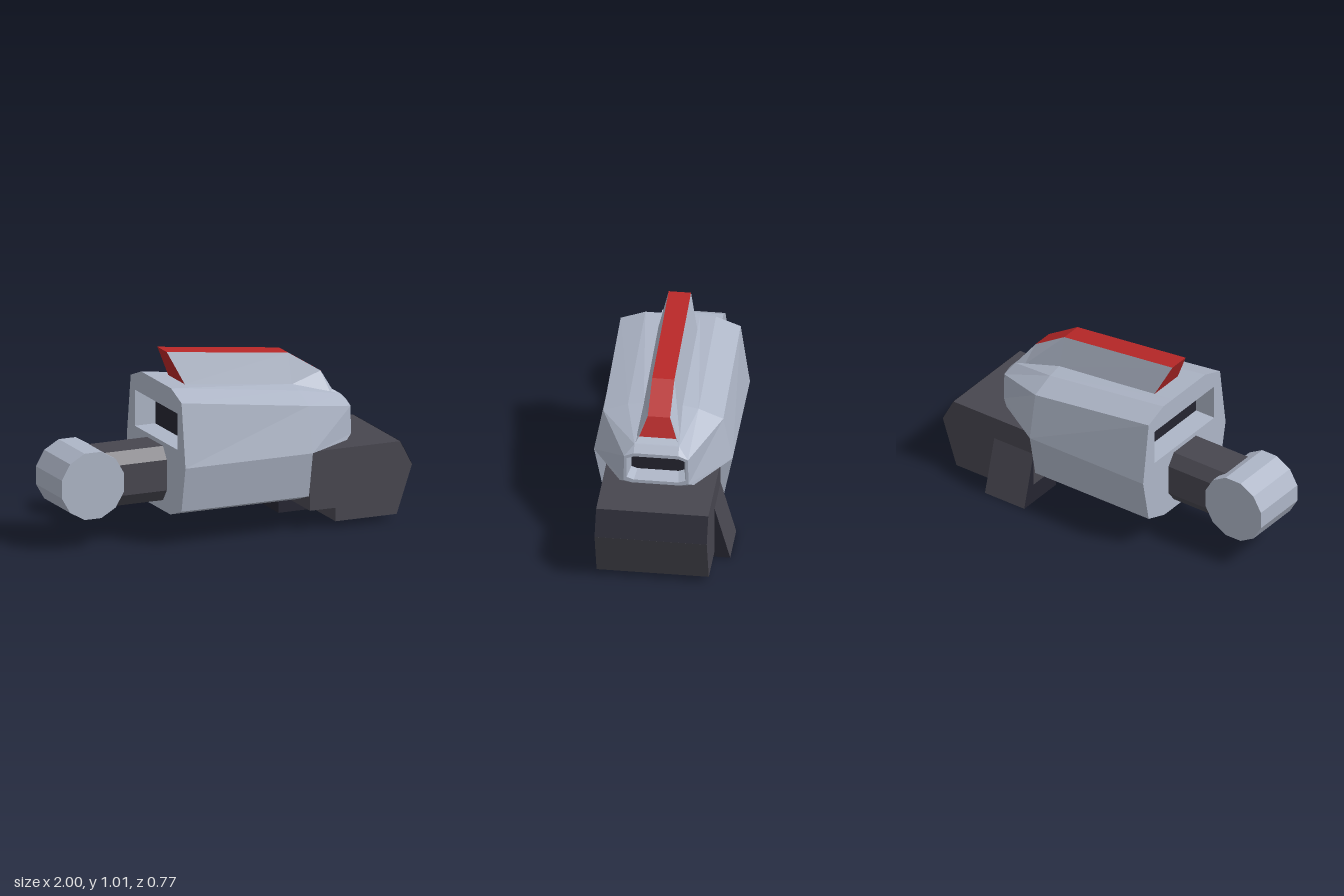
import * as THREE from 'three';

const mat = (name, color, extra = {}) => {
  const m = new THREE.MeshStandardMaterial({ color, ...extra });
  m.name = name;
  return m;
};

export function createModel() {
  const grey = mat('hull grey', 0xadb5c6);
  const dark = mat('dark grey', 0x47464f);
  const black = mat('black', 0x242430, { side: THREE.DoubleSide });
  const red = mat('red', 0xb82727);

  const root = new THREE.Group();
  const hull = new THREE.Group();
  hull.name = 'hull';
  hull.position.z = 0.01;
  root.add(hull);

  const add = (parent, name, geometry, material) => {
    const g = geometry.index ? geometry.toNonIndexed() : geometry;
    g.computeVertexNormals();
    const m = new THREE.Mesh(g, material);
    m.name = name;
    parent.add(m);
    return m;
  };
  const fromTriangles = (points) => {
    const g = new THREE.BufferGeometry();
    g.setAttribute('position', new THREE.Float32BufferAttribute(points.flat(), 3));
    return g;
  };
  const quad = (a, b, c, d) => [a, b, c, a, c, d];

  // Symmetric cross-section from half points [z, y, x], bottom to top
  const ring = (half, x) => {
    const h = half.map(([z, y, px]) => [px ?? x, y, z]);
    return [...h, ...h.map(([px, y, z]) => [px, y, -z]).reverse()];
  };
  const loft = (rings) => {
    const t = [];
    for (let j = 0; j < rings.length - 1; j++) {
      const a = rings[j], b = rings[j + 1], n = a.length;
      for (let i = 0; i < n; i++) {
        const k = (i + 1) % n;
        t.push(...quad(a[i], b[i], b[k], a[k]));
      }
    }
    return fromTriangles(t);
  };
  const cap = (r, forward) => {
    const t = [];
    for (let i = 1; i < r.length - 1; i++)
      t.push(r[0], ...(forward ? [r[i + 1], r[i]] : [r[i], r[i + 1]]));
    return fromTriangles(t);
  };

  // Main hull with the rear recess
  const opening = [[0.18, 0.53], [0.27, 0.53], [0.27, 0.6], [0.27, 0.73], [0.19, 0.73], [0.105, 0.73]];
  const lower = [[0.18, 0.15], [0.323, 0.2], [0.373, 0.45]];
  const rear = [...lower, [0.323, 0.8], [0.19, 0.85], [0.105, 0.85]];
  const front = [...lower, [0.323, 0.7], [0.19, 0.753], [0.105, 0.768]];
  add(hull, 'mainHull', loft([ring(opening, -0.25), ring(opening, -0.37), ring(rear, -0.37), ring(front, 0.38)]), grey);
  add(hull, 'lowerHullFront', cap(ring(lower, 0.38), true), grey);
  add(hull, 'rearRecessPanel', cap(ring(opening, -0.25), false), black);

  // Tapered nose with the front intake
  const noseBase = [[0.373, 0.45], [0.373, 0.45], ...front.slice(3)];
  const noseEdge = [[0.2, 0.45, 0.66], [0.175, 0.475, 0.695], [0.172, 0.628, 0.695], [0.12, 0.687, 0.66], [0.12, 0.687, 0.66]];
  const noseFace = [[0.13, 0.463], [0.175, 0.475], [0.172, 0.628], [0.12, 0.65], [0.1, 0.65]];
  const intake = [[0.12, 0.482], [0.158, 0.495], [0.158, 0.615], [0.12, 0.63], [0.1, 0.63]];
  const intakeBack = [[0.11, 0.5], [0.143, 0.512], [0.143, 0.602], [0.115, 0.615], [0.1, 0.615]];
  add(hull, 'nose', loft([ring(noseBase, 0.38), ring(noseEdge), ring(noseFace, 0.695),
    ring(intake, 0.695), ring(intakeBack, 0.61)]), grey);
  add(hull, 'intakePanel', cap(ring(intakeBack, 0.61), true), black);

  // Dorsal fin: grey flanks, red spine and rear edge; stations hold [x, y, half width]
  const stations = [
    { base: [-0.25, 0.838, 0.105], top: [-0.335, 1.015, 0.06] },
    { base: [0.38, 0.766, 0.105], top: [0.38, 0.93, 0.06] },
    { base: [0.6, 0.7, 0.117], top: [0.57, 0.81, 0.06] },
    { base: [0.66, 0.685, 0.12], top: [0.62, 0.71, 0.1] },
  ];
  const at = ([x, y, z], s) => [x, y, z * s];
  const flanks = [], spine = [];
  for (let i = 0; i < 3; i++) {
    const a = stations[i], b = stations[i + 1];
    flanks.push(...quad(at(a.base, 1), at(b.base, 1), at(b.top, 1), at(a.top, 1)));
    flanks.push(...quad(at(b.base, -1), at(a.base, -1), at(a.top, -1), at(b.top, -1)));
    spine.push(...quad(at(a.top, 1), at(b.top, 1), at(b.top, -1), at(a.top, -1)));
  }
  const [first, last] = [stations[0], stations[3]];
  spine.push(...quad(at(first.base, -1), at(first.base, 1), at(first.top, 1), at(first.top, -1)));
  flanks.push(...quad(at(last.base, 1), at(last.base, -1), at(last.top, -1), at(last.top, 1)));
  add(hull, 'finFlanks', fromTriangles(flanks), grey);
  add(hull, 'finSpine', fromTriangles(spine), red);

  const extrude = (pts, depth) => new THREE.ExtrudeGeometry(
    new THREE.Shape(pts.map(([x, y]) => new THREE.Vector2(x, y))), { depth, bevelEnabled: false });

  // Rear connecting shaft, a chamfered octagon
  const shaft = extrude([[-0.1, 0.21], [0.1, 0.21], [0.148, 0.275], [0.148, 0.445],
    [0.1, 0.51], [-0.1, 0.51], [-0.148, 0.445], [-0.148, 0.275]], 0.36);
  shaft.rotateY(Math.PI / 2).translate(-0.735, 0, 0.008);
  add(root, 'rearShaft', shaft, dark);

  // Twelve-sided rear drum
  const drum = new THREE.CylinderGeometry(0.19, 0.19, 0.33, 12);
  drum.rotateY(Math.PI / 12).rotateX(Math.PI / 2).translate(-0.816, 0.354, 0.006);
  add(root, 'rearDrum', drum, grey);

  // Front block with a notch underneath and a black sloped face
  const block = extrude([[0.4, 0.11], [0.55, 0.11], [0.55, 0.035], [0.91, 0.035],
    [1, 0.3], [0.93, 0.435], [0.4, 0.435]], 0.604);
  add(root, 'frontBlock', block.translate(0, 0, -0.301), dark);
  add(root, 'frontBlockSlope', fromTriangles(quad([1.001, 0.301, 0.303], [1.001, 0.301, -0.301],
    [0.931, 0.436, -0.301], [0.931, 0.436, 0.303])), black);

  // Side foot, black ends and inner face
  const foot = extrude([[0.1, 0], [0.385, 0], [0.3, 0.31], [0.1, 0.31]], 0.26);
  foot.rotateY(Math.PI / 2).translate(0.4, 0, 0);
  add(root, 'sideFoot', foot, [black, dark]);
  add(root, 'sideFootInnerFace', fromTriangles(quad([0.4, 0, -0.098], [0.66, 0, -0.098],
    [0.66, 0.31, -0.098], [0.4, 0.31, -0.098])), black);

  return root;
}
